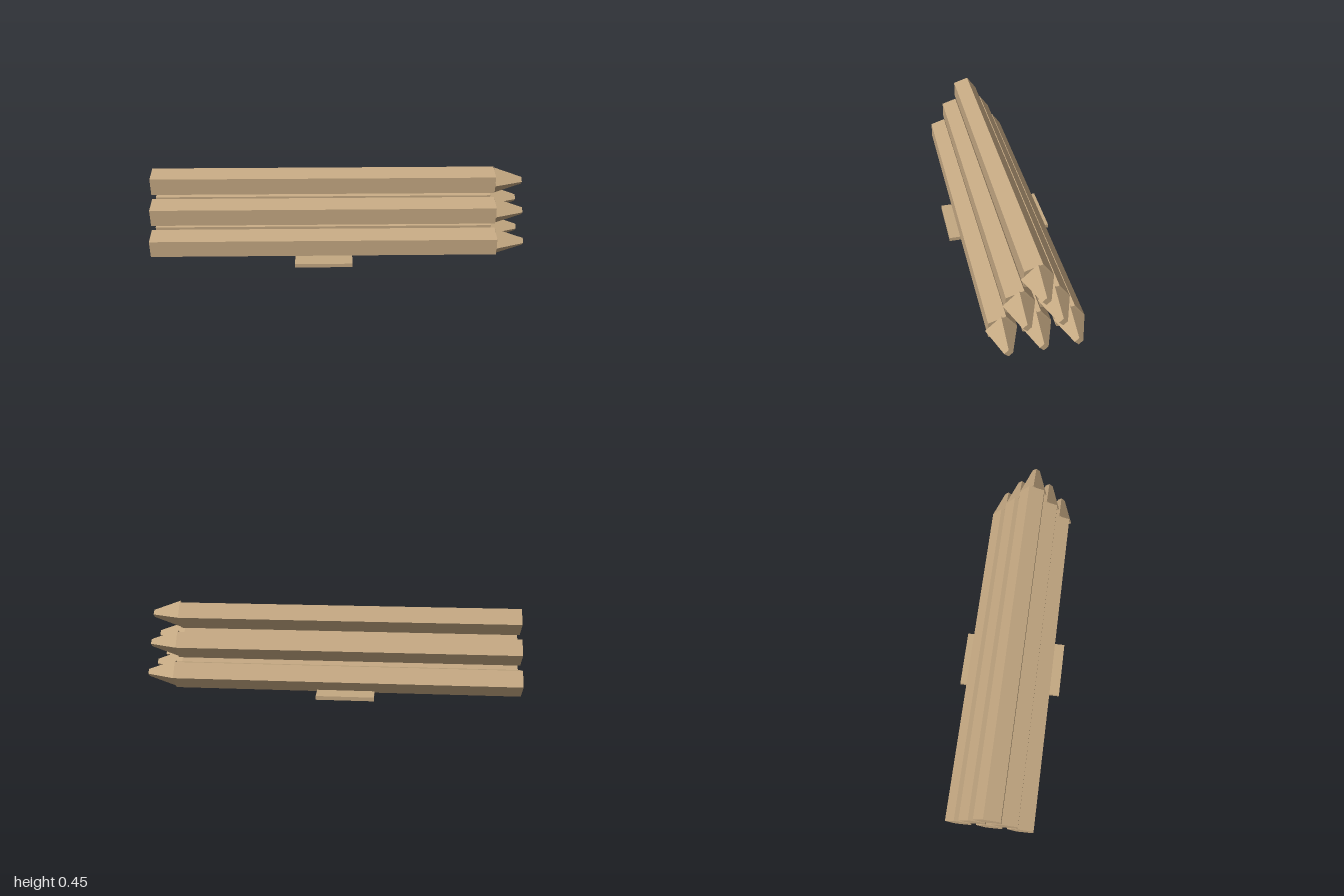
import * as THREE from 'three';

export function createModel() {
  const group = new THREE.Group();
  group.name = 'stakePile';
  const wood = new THREE.MeshStandardMaterial({ color: 0xc4a882, flatShading: true });

  const radius = 0.0765, backEnd = -1, shoulder = 0.847, tipEnd = 1;

  // Prism lying along x, with its first corner towards -z
  const prismX = (rTip, rBase, from, to, sides) =>
    new THREE.CylinderGeometry(rTip, rBase, to - from, sides, 1, false, Math.PI)
      .rotateZ(-Math.PI / 2)
      .translate((from + to) / 2, 0, 0);

  const shaftGeometry = prismX(radius, radius, backEnd, shoulder, 5);
  const pointGeometry = prismX(0.0205, radius, shoulder, tipEnd, 4);

  // Five-sided log with a blunt four-sided point
  function makeStake(y, z) {
    const stake = new THREE.Group();
    stake.name = 'stake';
    const shaft = new THREE.Mesh(shaftGeometry, wood);
    shaft.name = 'stakeShaft';
    const point = new THREE.Mesh(pointGeometry, wood);
    point.name = 'stakePoint';
    stake.add(shaft, point);
    stake.position.set(0, y, z);
    return stake;
  }

  // Pyramid stack: rows of three, two and one
  for (let row = 0; row < 3; row++) {
    const count = 3 - row;
    for (let i = 0; i < count; i++) {
      group.add(makeStake(0.083 + row * 0.144, (i - (count - 1) / 2) * 0.1645));
    }
  }

  // Cross plank under the stack
  const plank = new THREE.Mesh(new THREE.BoxGeometry(0.306, 0.021, 0.566), wood);
  plank.name = 'crossPlank';
  plank.position.set(-0.077, 0.0105, 0);
  group.add(plank);

  return group;
}
